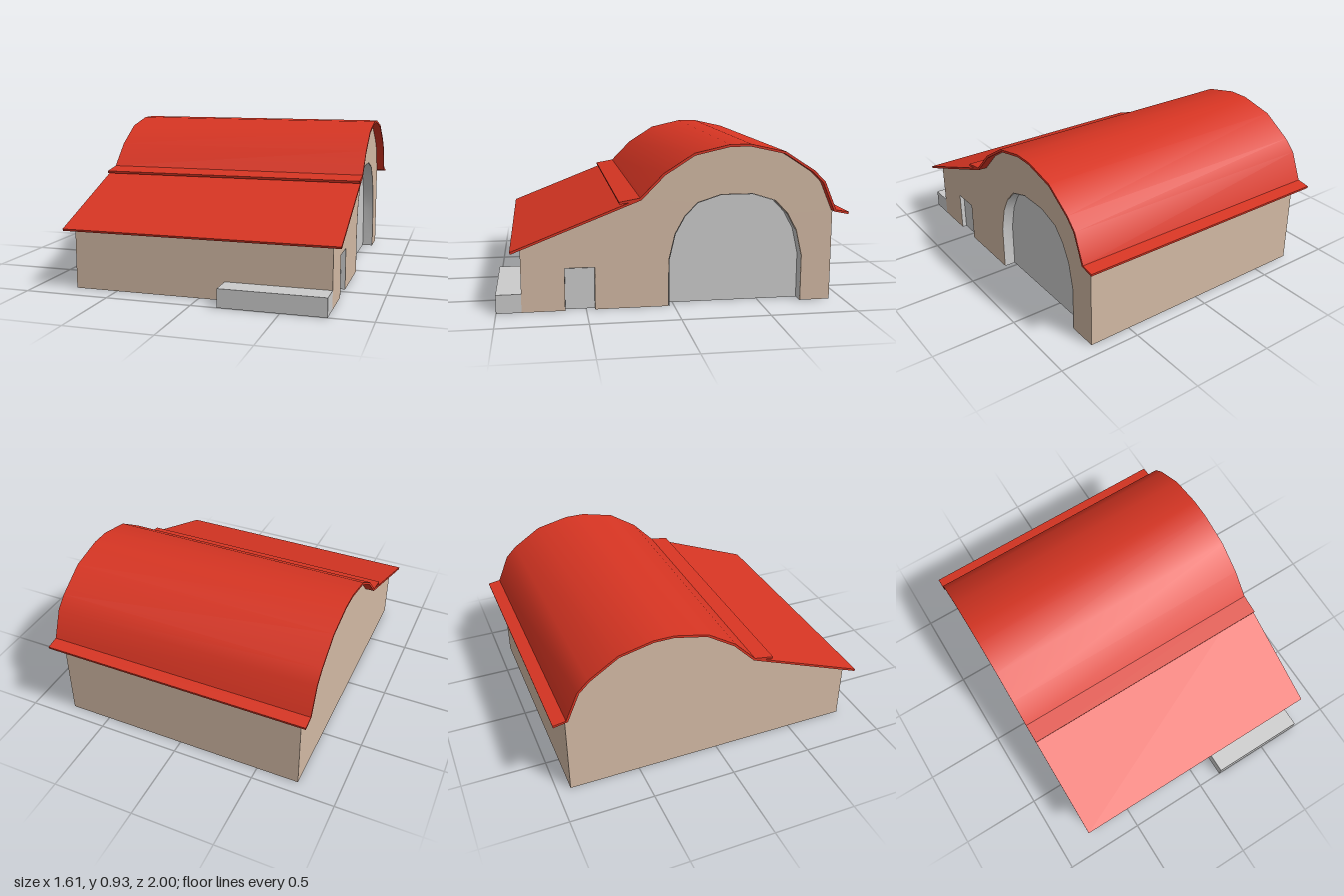
import * as THREE from 'three';
import { toCreasedNormals } from 'three/addons/utils/BufferGeometryUtils.js';

const wallMat = new THREE.MeshStandardMaterial({ color: 0xd2b9a4 });
const roofMat = new THREE.MeshStandardMaterial({ color: 0xd73523 });
const greyMat = new THREE.MeshStandardMaterial({ color: 0xcccccc });
const greyThin = new THREE.MeshStandardMaterial({ color: 0xcccccc, side: THREE.DoubleSide });

// All profiles are [z, y] pairs, extruded along x.
const upperRoof = [[0.317, 0.619], [0.2, 0.639], [0.07, 0.772], [-0.1, 0.88], [-0.3, 0.925], [-0.42, 0.925],
  [-0.62, 0.88], [-0.79, 0.77], [-0.855, 0.705], [-0.925, 0.54], [-1, 0.528]];
const lowerRoof = [[0.915, 0.359], [0.2, 0.638]];
const arch = [[0.032, 0], [0.032, 0.27], [-0.003, 0.42], [-0.058, 0.52], [-0.13, 0.595], [-0.265, 0.638],
  [-0.448, 0.638], [-0.583, 0.595], [-0.655, 0.52], [-0.71, 0.42], [-0.745, 0.27], [-0.745, 0]];
const door = [[0.618, 0], [0.618, 0.245], [0.45, 0.245], [0.45, 0]];
const wallTop = [[0.86, 0], [0.86, 0.37], [0.2, 0.628], [0.07, 0.763], [-0.1, 0.87], [-0.3, 0.915], [-0.42, 0.915],
  [-0.62, 0.87], [-0.785, 0.762], [-0.847, 0.7], [-0.921, 0.532], [-0.921, 0]];

function extrudeX(points, x0, x1) {
  const shape = new THREE.Shape(points.map(([z, y]) => new THREE.Vector2(z, y)));
  const geo = new THREE.ExtrudeGeometry(shape, { depth: x1 - x0, bevelEnabled: false });
  return geo.rotateY(-Math.PI / 2).translate(x1, 0, 0);
}

// Closed outline of a sheet: the top line plus the same line offset inwards.
function sheet(top, t) {
  const under = top.map((p, i) => {
    const a = top[Math.max(i - 1, 0)], b = top[Math.min(i + 1, top.length - 1)];
    const dz = b[0] - a[0], dy = b[1] - a[1], len = Math.hypot(dz, dy);
    return [p[0] - (dy / len) * t, p[1] + (dz / len) * t];
  });
  return [...top, ...under.reverse()];
}

// Open strip lining the sides and top of a recess.
function lining(points, x0, x1) {
  const geo = new THREE.PlaneGeometry(1, 1, points.length - 1, 1);
  const pos = geo.attributes.position, n = points.length;
  const mid = (points[0][0] + points[n - 1][0]) / 2;
  for (let i = 0; i < pos.count; i++) {
    const [z, y] = points[i % n];
    pos.setXYZ(i, i < n ? x1 : x0, y * 0.995, mid + (z - mid) * 0.99);
  }
  return toCreasedNormals(geo, 0.6);
}

export function createModel() {
  const model = new THREE.Group();
  const add = (name, geo, mat) => {
    const mesh = new THREE.Mesh(geo, mat);
    mesh.name = name;
    model.add(mesh);
    return mesh;
  };

  // Walls: solid core, then two layers that leave the recesses open
  const W = 0.755, archX = W - 0.07, doorX = W - 0.03;
  const archCut = [...arch].reverse(), doorCut = [...door].reverse();
  add('wallCore', extrudeX(wallTop, -W, archX), wallMat);
  add('wallAroundArch', extrudeX([...wallTop, ...archCut], archX, doorX), wallMat);
  add('wallOuterFace', extrudeX([...wallTop, ...archCut, ...doorCut], doorX, W), wallMat);

  // Recessed arch and door
  for (const [name, points, x] of [['arch', arch, archX], ['door', door, doorX]]) {
    add(name + 'Panel', extrudeX(points, x - 0.002, x + 0.003), greyMat);
    add(name + 'Lining', lining(points, x, W), greyThin);
  }

  // Roofs
  add('vaultedRoof', toCreasedNormals(extrudeX(sheet(upperRoof, 0.014), -0.807, 0.807), 0.5), roofMat);
  add('frontRoof', extrudeX(sheet(lowerRoof, 0.013), -0.807, 0.807), roofMat);

  // Low platform at the front
  add('platform', new THREE.BoxGeometry(0.603, 0.107, 0.14), greyMat).position.set(0.4535, 0.0535, 0.93);
  return model;
}
